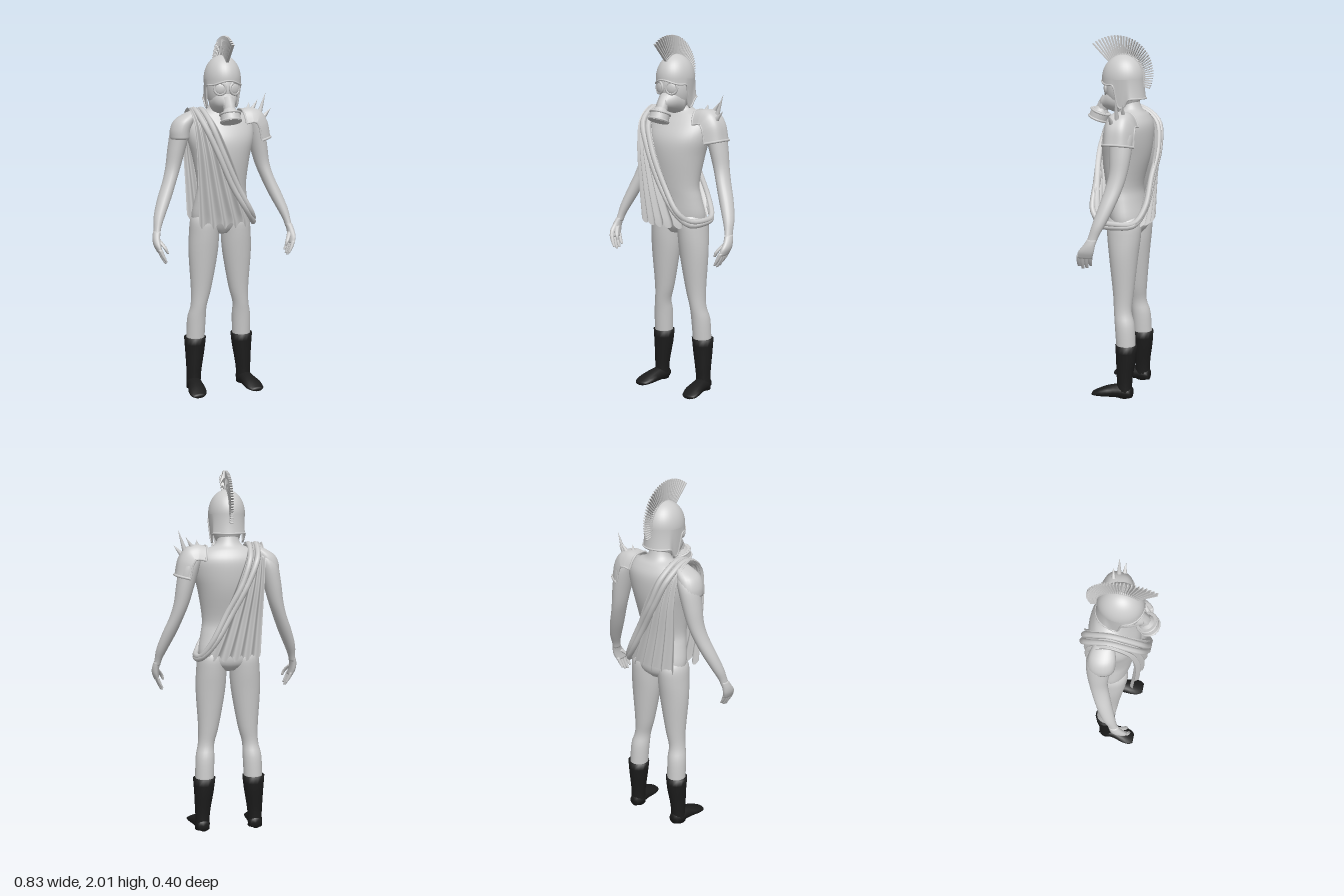
import * as THREE from 'three';

const V = (x, y, z) => new THREE.Vector3(x, y, z);
const grey = new THREE.MeshStandardMaterial({ color: 0xcccccc });
const cloth = new THREE.MeshStandardMaterial({ color: 0xcccccc, side: THREE.DoubleSide });
const black = new THREE.MeshStandardMaterial({ color: 0x1c1c1c });

// Surface from fn(u, v); closed joins the u direction into a ring
function grid(nu, nv, fn, closed = false) {
  const pos = [], idx = [], cols = closed ? nu : nu + 1;
  for (let j = 0; j <= nv; j++)
    for (let i = 0; i < cols; i++) pos.push(...fn(i / nu, j / nv).toArray());
  for (let j = 0; j < nv; j++)
    for (let i = 0; i < nu; i++) {
      const k = (i + 1) % cols, a = j * cols + i, b = j * cols + k;
      idx.push(a, b, b + cols, a, b + cols, a + cols);
    }
  const g = new THREE.BufferGeometry();
  g.setAttribute('position', new THREE.Float32BufferAttribute(pos, 3));
  g.setIndex(idx);
  g.computeVertexNormals();
  return g;
}

// Closed smooth body through elliptical sections [x, y, z, rx, r2], listed along +axis
function loft(sections, { axis = 'y', side = 1, sides = 24, steps = 4 } = {}) {
  const first = sections[0], last = sections[sections.length - 1];
  const mid = new THREE.CatmullRomCurve3(sections.map(s => V(s[0] * side, s[1], s[2])), false, 'catmullrom');
  const rad = new THREE.CatmullRomCurve3(sections.map(s => V(s[3], s[4], 0)), false, 'catmullrom');
  const rows = (sections.length - 1) * steps;
  return grid(sides, rows + 2, (u, v) => {
    const j = Math.round(v * (rows + 2)), t = Math.min(Math.max((j - 1) / rows, 0), 1);
    const cap = j === 0 || j === rows + 2 ? 0 : 1;
    const p = t === 0 ? V(first[0] * side, first[1], first[2]) : t === 1 ? V(last[0] * side, last[1], last[2]) : mid.getPoint(t);
    const r = rad.getPoint(t), a = u * Math.PI * 2;
    const c = Math.max(r.x, 0) * Math.cos(a) * cap, s = Math.max(r.y, 0) * Math.sin(a) * cap;
    return axis === 'y' ? p.add(V(c, 0, -s)) : p.add(V(c, s, 0));
  }, true);
}

export function createModel() {
  const model = new THREE.Group();
  const add = (name, geometry, material = grey, parent = model) => {
    const m = new THREE.Mesh(geometry, material);
    m.name = name;
    parent.add(m);
    return m;
  };
  const tube = (pts, r, closed = false) =>
    new THREE.TubeGeometry(new THREE.CatmullRomCurve3(pts, closed), 64, r, 8, closed);

  // Torso and neck
  add('torso', loft([
    [0, .92, -.04, .05, .06], [0, .96, -.045, .14, .09], [0, 1.02, -.038, .165, .102],
    [0, 1.12, -.02, .15, .097], [0, 1.2, -.01, .14, .1], [0, 1.35, -.02, .163, .128],
    [0, 1.45, -.03, .188, .132], [0, 1.53, -.05, .188, .11], [0, 1.58, -.055, .145, .08],
    [0, 1.61, -.05, .075, .06], [0, 1.66, -.035, .055, .055], [0, 1.75, -.02, .05, .05]], { sides: 36 }));

  // Limbs, mirrored
  for (const side of [1, -1]) {
    const tag = side > 0 ? 'left' : 'right';
    add(tag + 'Leg', loft([
      [.14, .28, -.07, .052, .054], [.135, .42, -.06, .053, .056], [.126, .5, -.045, .046, .05],
      [.112, .6, -.043, .058, .058], [.1, .8, -.04, .082, .08], [.094, .92, -.04, .084, .094],
      [.09, 1.0, -.04, .078, .095], [.085, 1.05, -.04, .05, .06]], { side }));
    add(tag + 'Boot', loft([
      [.153, .01, -.065, .042, .044], [.151, .08, -.065, .041, .043], [.148, .15, -.066, .047, .048],
      [.143, .23, -.07, .056, .056], [.141, .31, -.07, .064, .061]], { side, sides: 14, steps: 2 }), black);
    add(tag + 'BootFoot', loft([
      [.15, .035, -.108, .03, .03], [.152, .04, -.07, .042, .04], [.158, .038, -.01, .042, .038],
      [.166, .03, .05, .052, .028], [.172, .02, .095, .046, .016], [.174, .016, .115, .03, .01]],
      { axis: 'z', side, sides: 14, steps: 2 }), black);
    add(tag + 'Arm', loft([
      [.388, .94, .035, .018, .027], [.38, .98, .022, .021, .028], [.362, 1.04, 0, .031, .036],
      [.325, 1.13, -.03, .038, .043], [.288, 1.22, -.055, .038, .047], [.262, 1.3, -.07, .042, .05],
      [.24, 1.4, -.073, .05, .06], [.215, 1.5, -.07, .056, .066], [.185, 1.56, -.06, .05, .055],
      [.165, 1.59, -.06, .025, .03]], { side }));
    add(tag + 'Palm', loft([
      [.385, .855, .075, .014, .043], [.394, .89, .062, .019, .044], [.394, .925, .045, .02, .034],
      [.386, .96, .03, .02, .027]], { side, sides: 16 }));
    for (let f = 0; f < 4; f++) {
      const z = .04 + f * .022, drop = [.02, .005, 0, .012][f];
      add(tag + 'Finger', loft([
        [.357, .79 + drop, z + .01, .006, .008], [.372, .825 + drop * .5, z + .007, .01, .011],
        [.388, .87, z, .012, .012]], { side, sides: 10 }));
    }
    add(tag + 'Thumb', loft([
      [.345, .845, .1, .006, .008], [.358, .875, .094, .011, .012], [.384, .915, .06, .012, .014]],
      { side, sides: 10 }));
  }

  // Head and breathing mask
  const head = add('head', new THREE.SphereGeometry(1, 28, 20));
  head.scale.set(.083, .125, .1);
  head.position.set(0, 1.715, -.005);
  add('maskMuzzle', loft([
    [0, 1.655, .0, .076, .075], [0, 1.66, .06, .064, .062], [0, 1.652, .1, .042, .042],
    [0, 1.645, .122, .03, .03]], { axis: 'z' }));
  add('maskHose', tube([V(0, 1.67, .09), V(0, 1.63, .115), V(0, 1.58, .135)], .034));
  for (const s of [1, -1]) {
    const eye = new THREE.Group();
    eye.name = 'eyepiece';
    eye.position.set(s * .041, 1.725, .087);
    eye.rotation.y = s * .38;
    add('eyeRim', new THREE.TorusGeometry(.031, .007, 8, 24), grey, eye);
    const lens = add('lens', new THREE.SphereGeometry(.03, 20, 12), grey, eye);
    lens.scale.z = .35;
    model.add(eye);
  }
  const filter = new THREE.Group();
  filter.name = 'filterCanister';
  filter.position.set(0, 1.574, .14);
  filter.rotation.x = -.37;
  add('canister', new THREE.CylinderGeometry(.053, .055, .054, 28), grey, filter);
  add('canisterNeck', new THREE.CylinderGeometry(.03, .044, .025, 28), grey, filter).position.y = .036;
  for (const y of [-.02, .02]) {
    const rim = add('canisterRim', new THREE.TorusGeometry(.054, .006, 8, 28), grey, filter);
    rim.rotation.x = Math.PI / 2;
    rim.position.y = y;
  }
  model.add(filter);

  // Helmet: dome, skirt with cheek guards, brow band
  const dome = add('helmetDome', new THREE.SphereGeometry(1, 36, 14, 0, Math.PI * 2, 0, Math.PI / 2), cloth);
  dome.scale.set(.1, .13, .118);
  dome.position.y = 1.775;
  const skirt = (u, v) => {
    const a = u * Math.PI * 2, away = Math.min(a, Math.PI * 2 - a);
    const cheek = Math.exp(-(((away - 1.75) / .3) ** 4));
    const back = THREE.MathUtils.smoothstep(away, 1.6, 2.2);
    const low = 1.757 + .012 * Math.cos(away * 3) * (1 - back) - .14 * cheek - .085 * back * (1 - cheek);
    const r = 1 - .14 * v * cheek + .07 * back * v * v;
    return V(Math.sin(a) * .1 * r, THREE.MathUtils.lerp(1.775, low, v), Math.cos(a) * .118 * r);
  };
  add('helmetSkirt', grid(96, 10, (u, v) => skirt(u, v), true), cloth);
  add('helmetEdge', tube(Array.from({ length: 64 }, (_, i) => skirt(i / 64, 1)), .005, true));

  // Crest of thin bristles fanned over the dome
  const onDome = a => V(0, 1.785 + .118 * Math.sin(a), .116 * Math.cos(a));
  const ridge = [], from = .77, to = 3.53, bristles = 34;
  for (let i = 0; i <= bristles; i++) {
    const a = from + (to - from) * i / bristles;
    const r = .165 + .08 * ((to - a) / (to - from)) ** 1.5;
    const base = onDome(a), tip = V(0, 1.79 + r * Math.sin(a), r * Math.cos(a));
    const b = add('crestBristle', new THREE.BoxGeometry(.016, base.distanceTo(tip), .006));
    b.position.copy(base).lerp(tip, .5);
    b.quaternion.setFromUnitVectors(V(0, 1, 0), tip.clone().sub(base).normalize());
    ridge.push(base);
  }
  add('crestRidge', tube(ridge, .009));

  // Left shoulder plate with rim and spikes
  const padPath = new THREE.CatmullRomCurve3(
    [V(.125, 1.605, 0), V(.18, 1.612, 0), V(.235, 1.595, 0), V(.275, 1.54, 0), V(.295, 1.45, 0)]);
  const pad = (u, v) => {
    const p = padPath.getPoint(v), t = padPath.getTangent(v), s = u * 2 - 1;
    const drop = .075 * Math.abs(s) ** 3.5;
    const z = -.053 + s * (.082 + .006 * v);
    return V(p.x + t.y * drop, p.y - t.x * drop, z);
  };
  add('shoulderPlate', grid(24, 24, pad), cloth);
  const edge = fn => Array.from({ length: 16 }, (_, i) => fn(i / 15));
  add('plateLowerRim', tube(edge(t => pad(t, 1)), .007));
  add('plateInnerRim', tube(edge(t => pad(t, 0)), .006));
  for (const u of [0, 1]) add('plateSideRim', tube(edge(t => pad(u, t)), .005));
  const spikes = [[V(.24, 1.58, -.055), V(.278, 1.695, -.06)], [V(.2, 1.595, -.075), V(.24, 1.655, -.085)],
    [V(.255, 1.56, -.03), V(.3, 1.61, -.03)], [V(.17, 1.6, -.055), V(.178, 1.64, -.058)]];
  for (const [base, tip] of spikes) {
    const s = add('shoulderSpike', new THREE.ConeGeometry(.014, base.distanceTo(tip), 10));
    s.position.copy(base).lerp(tip, .5);
    s.quaternion.setFromUnitVectors(V(0, 1, 0), tip.clone().sub(base).normalize());
  }

  // Right shoulder sleeve
  add('rightSleeve', loft([
    [.226, 1.45, -.06, .054, .072], [.222, 1.5, -.058, .057, .073], [.2, 1.55, -.056, .057, .068],
    [.165, 1.585, -.055, .04, .05], [.15, 1.6, -.05, .02, .03]], { side: -1 }));

  // Pleated sash: front hem, over the right shoulder, back hem
  const drape = new THREE.CatmullRomCurve3([
    V(0, .985, .12), V(0, 1.2, .14), V(0, 1.42, .145), V(0, 1.55, .105), V(0, 1.615, -.03),
    V(0, 1.55, -.15), V(0, 1.42, -.18), V(0, 1.2, -.165), V(0, 1.0, -.155)]);
  const sash = (u, v) => {
    const p = drape.getPoint(v);
    const w = THREE.MathUtils.clamp((1.6 - p.y) / .6, 0, 1);
    const x = THREE.MathUtils.lerp(-.19 + .025 * w, -.1 + .245 * w, u);
    const fold = Math.cos(u * Math.PI * 10) * (.008 + .008 * w);
    const k = (1 - .2 * (x / .17) ** 2) * (1 - w) + (1 - .3 * (x / .17) ** 2) * w;
    const out = p.z > -.02 ? 1 : -1, lift = Math.min(1, Math.abs(p.z + .03) / .08);
    return V(x, p.y + fold * (1 - lift) + w ** 6 * .018 * Math.cos(u * Math.PI * 10 + 1) - .02 * u * (1 - u) * w,
      -.02 + (p.z + .02) * k + out * fold * lift);
  };
  add('sash', grid(70, 64, sash), cloth);

  // Loose sash folds looping around the left hip
  for (const d of [0, 1])
    add('sashLoop', tube([
      V(-.115 - d * .04, 1.61, -.03), V(-.1 - d * .04, 1.54, .11), V(-.05 - d * .03, 1.4, .148),
      V(.04 - d * .03, 1.2, .148), V(.12 - d * .02, 1.06, .135), V(.155, 1.01 - d * .02, .08),
      V(.178, 1.0 - d * .015, -.02), V(.16, 1.01 - d * .01, -.12), V(.11 - d * .02, 1.09, -.165),
      V(.03 - d * .03, 1.25, -.175), V(-.05 - d * .03, 1.4, -.185), V(-.1 - d * .04, 1.54, -.155)], .016, true), cloth);

  return model;
}
